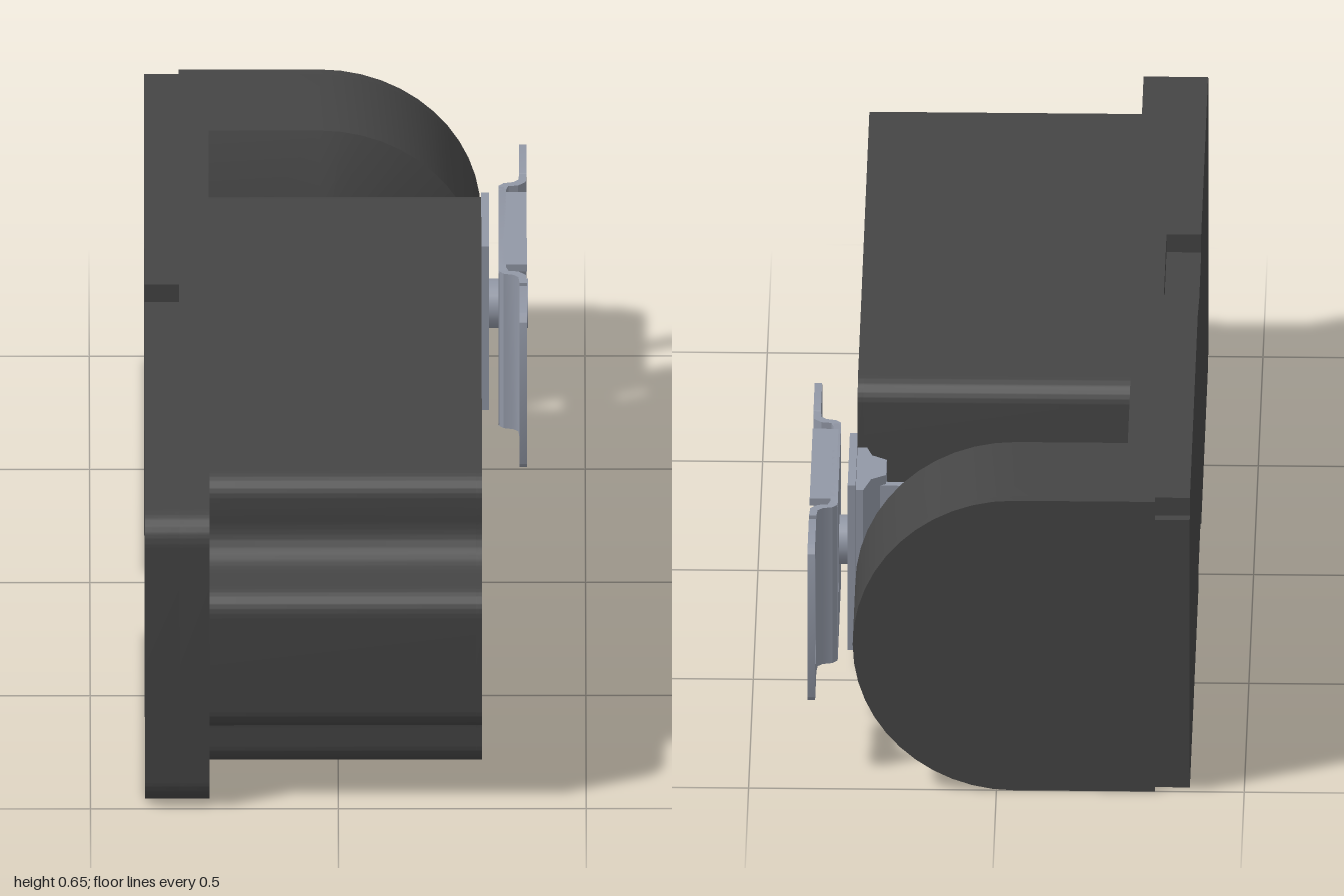
import * as THREE from 'three';
import { toCreasedNormals } from 'three/addons/utils/BufferGeometryUtils.js';
import { ConvexGeometry } from 'three/addons/geometries/ConvexGeometry.js';

const DARK = 0x454545, STEEL = 0x9298a6, PANEL = 0x8e8e8e;

export function createModel() {
  const root = new THREE.Group();
  const add = (name, geo, color) => {
    const mesh = new THREE.Mesh(geo, new THREE.MeshStandardMaterial({ color }));
    mesh.name = name;
    root.add(mesh);
    return mesh;
  };
  const extrude = (shape, depth) => toCreasedNormals(
    new THREE.ExtrudeGeometry(shape, { depth, bevelEnabled: false, curveSegments: 12 }), 0.6);
  // Side shapes are drawn with u = -z and v = y, then pushed along x
  const alongX = (shape, x0, x1) => extrude(shape, x1 - x0).rotateY(Math.PI / 2).translate(x0, 0, 0);
  // Plan shapes are drawn with u = x and v = -z, then pushed along y
  const alongY = (shape, y0, y1) => extrude(shape, y1 - y0).rotateX(-Math.PI / 2).translate(0, y0, 0);
  const plan = pts => new THREE.Shape(pts.map(([x, z]) => new THREE.Vector2(x, -z)));
  const box = (x0, x1, y0, y1, z0, z1) => new THREE.BoxGeometry(x1 - x0, y1 - y0, z1 - z0)
    .translate((x0 + x1) / 2, (y0 + y1) / 2, (z0 + z1) / 2);

  // Rectangle in z and y with rounded corners
  const roundRect = (z0, z1, y0, y1, r, Kind = THREE.Shape) => {
    const s = new Kind(), a = -z1, b = -z0, q = Math.PI / 2;
    s.absarc(b - r, y0 + r, r, -q, 0);
    s.absarc(b - r, y1 - r, r, 0, q);
    s.absarc(a + r, y1 - r, r, q, 2 * q);
    s.absarc(a + r, y0 + r, r, 2 * q, 3 * q);
    s.closePath();
    return s;
  };

  // Base plate, with side notches low down and blind screw holes on top
  const baseShape = notch => {
    const s = new THREE.Shape(), r = 0.06, q = Math.PI / 2, n = 0.04;
    s.moveTo(0.73, 0);
    s.lineTo(0.73, 0.65);
    if (notch) [[0.05, 0.65], [0.05, 0.65 - n], [-0.23, 0.65 - n], [-0.23, 0.65]].forEach(p => s.lineTo(...p));
    s.absarc(-1 + r, 0.65 - r, r, q, 2 * q);
    s.absarc(-1 + r, r, r, 2 * q, 3 * q);
    if (notch) [[-0.23, 0], [-0.23, n], [0.05, n], [0.05, 0]].forEach(p => s.lineTo(...p));
    s.closePath();
    return s;
  };
  add('basePlateLower', alongX(baseShape(true), -0.39, -0.32), DARK);
  const drilled = baseShape(false);
  for (const z of [0.915, -0.565]) for (const y of [0.08, 0.57]) {
    const hole = new THREE.Path();
    hole.absarc(-z, y, 0.065, 0, Math.PI * 2);
    drilled.holes.push(hole);
  }
  add('basePlateUpper', alongX(drilled, -0.32, -0.26), DARK);

  // Main housing with scalloped front corners and rounded rear corners
  const bodyShape = () => {
    const s = new THREE.Shape(), q = Math.PI / 2;
    s.absarc(0.425, 0.05, 0.05, -q, 0);
    s.absarc(0.425, 0.60, 0.05, 0, q);
    s.absarc(-0.77, 0.60, 0.05, q, 2 * q);
    s.absarc(-0.90, 0.56, 0.08, 0, -q, true);
    s.absarc(-0.95, 0.43, 0.05, q, 2 * q);
    s.absarc(-0.95, 0.22, 0.05, 2 * q, 3 * q);
    s.absarc(-0.90, 0.09, 0.08, q, 0, true);
    s.absarc(-0.77, 0.05, 0.05, 2 * q, 3 * q);
    s.closePath();
    return s;
  };
  add('housing', alongX(bodyShape(), -0.26, 0.278), DARK);
  const rim = bodyShape();
  rim.holes.push(roundRect(-0.32, 0.655, 0.062, 0.593, 0.07, THREE.Path));
  add('housingRim', alongX(rim, 0.278, 0.29), DARK);
  add('labelPanel', alongX(roundRect(-0.305, 0.64, 0.077, 0.578, 0.06), 0.278, 0.287), PANEL);

  // D-shaped head with a thin rear cover cut away at two corners
  const headShape = corner => {
    const s = new THREE.Shape(), x = -0.39 + (corner ? 0.07 : 0), c = corner ? 0.04 : 0;
    s.moveTo(-0.39, c);
    s.lineTo(x, c);
    s.lineTo(x, 0);
    s.absarc(-0.035, 0.325, 0.325, -Math.PI / 2, Math.PI / 2);
    s.lineTo(x, 0.65);
    s.lineTo(x, 0.65 - c);
    s.lineTo(-0.39, 0.65 - c);
    s.closePath();
    return s;
  };
  add('head', extrude(headShape(false), 0.25).translate(0, 0, -0.98), DARK);
  add('headCover', extrude(headShape(true), 0.02).translate(0, 0, -1), DARK);

  // Half-cone running into a ridge on the inner face of the head
  const conePts = [];
  for (const [r, z] of [[0.325, -0.73], [0.025, -0.61]]) {
    for (let i = 0; i <= 24; i++) {
      const a = -Math.PI / 2 + Math.PI * i / 24;
      conePts.push(new THREE.Vector3(-0.035 + r * Math.cos(a), 0.325 + r * Math.sin(a), z));
    }
    for (const k of [-1, 1]) conePts.push(new THREE.Vector3(-0.27, 0.325 + k * r, z));
  }
  add('headCone', toCreasedNormals(new ConvexGeometry(conePts), 0.5), DARK);

  // Actuator key in the gap
  add('keyPost', new THREE.CylinderGeometry(0.05, 0.05, 0.07, 24).rotateX(Math.PI / 2)
    .translate(-0.035, 0.325, -0.505), PANEL);
  add('keyBlade', box(-0.19, 0.27, 0.19, 0.49, -0.608, -0.59), STEEL);
  add('keyBody', alongY(plan([[-0.19, -0.59], [-0.1, -0.53], [0.24, -0.53], [0.24, -0.59]]), 0.22, 0.46), STEEL);
  add('keyFlare', alongY(plan([[0.23, -0.6], [0.23, -0.53], [0.26, -0.51], [0.275, -0.46],
    [0.295, -0.46], [0.295, -0.67], [0.275, -0.67], [0.26, -0.62]]), 0.18, 0.51), STEEL);
  add('keyPlate', box(0.29, 0.306, 0.16, 0.53, -0.69, -0.45), STEEL);
  add('keyNeck', new THREE.CylinderGeometry(0.05, 0.05, 0.05, 24).rotateZ(Math.PI / 2)
    .translate(0.325, 0.345, -0.56), STEEL);

  // Mounting bracket: windowed centre plate, side flanges, cranks and slotted ears
  const zc = -0.56, y0 = 0.165, y1 = 0.515;
  const centre = roundRect(zc - 0.19, zc + 0.19, y0, y1, 0.005);
  for (const k of [-1, 1]) {
    const za = zc + k * 0.105, zb = zc + k * 0.165;
    centre.holes.push(roundRect(Math.min(za, zb), Math.max(za, zb), 0.29, 0.39, 0.01, THREE.Path));
  }
  add('bracketCentre', alongX(centre, 0.325, 0.34), STEEL);
  for (const y of [y0, y1 - 0.016]) add('bracketFlange', box(0.33, 0.382, y, y + 0.016, zc - 0.16, zc + 0.16), STEEL);
  for (const y of [0.2, 0.465]) add('bracketRib', box(0.335, 0.365, y, y + 0.015, zc - 0.16, zc + 0.16), STEEL);
  add('rivetCollar', new THREE.CylinderGeometry(0.085, 0.085, 0.022, 32).rotateZ(Math.PI / 2)
    .translate(0.345, 0.345, zc), STEEL);
  add('rivet', new THREE.CylinderGeometry(0.05, 0.05, 0.05, 24).rotateZ(Math.PI / 2)
    .translate(0.36, 0.345, zc), STEEL);
  for (const k of [-1, 1]) {
    const crank = [[0.325, 0.17], [0.325, 0.188], [0.335, 0.2], [0.355, 0.205], [0.365, 0.215], [0.367, 0.24],
      [0.382, 0.24], [0.38, 0.205], [0.365, 0.19], [0.345, 0.187], [0.34, 0.17]];
    add('bracketCrank', alongY(plan(crank.map(([x, d]) => [x, zc + k * d])), y0, y1), STEEL);
    const span = [zc + k * 0.235, zc + k * 0.39].sort((a, b) => a - b);
    const ear = roundRect(...span, y0, y1, 0.025);
    const zs = zc + k * 0.31;
    ear.holes.push(roundRect(zs - 0.045, zs + 0.045, 0.215, 0.468, 0.044, THREE.Path));
    add('bracketEar', alongX(ear, 0.367, 0.382), STEEL);
  }
  return root;
}
